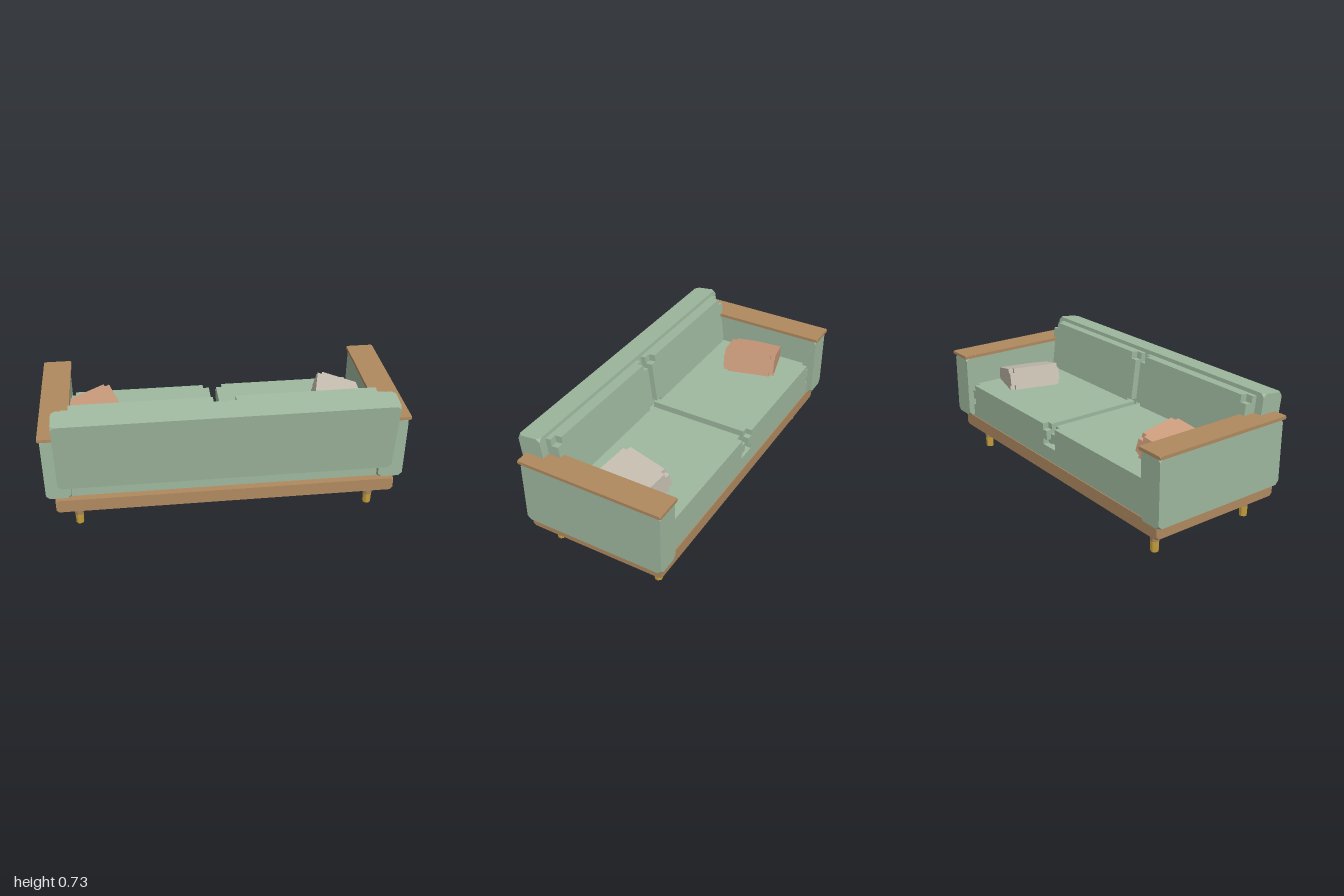
import * as THREE from 'three';

const mat = (name, color) => {
  const m = new THREE.MeshStandardMaterial({ color });
  m.name = name;
  return m;
};

// Box with its eight corners cut flat, or stepped inwards as small cubes when notched
function cornerBox(w, h, d, r, notched = false) {
  const half = [w / 2, h / 2, d / 2];
  const pos = [];
  const tri = (a, b, c, flip) => pos.push(...a, ...(flip ? c : b), ...(flip ? b : c));
  const point = (s, inset) => s.map((v, i) => v * (half[i] - inset[i]));
  const along = (s, axis) => point(s, [0, 1, 2].map(i => (i === axis ? r : 0)));
  const inFace = (s, axis) => point(s, [0, 1, 2].map(i => (i === axis ? 0 : r)));

  for (let i = 0; i < 3; i++) {
    const j = (i + 1) % 3, l = (i + 2) % 3;
    for (const side of [1, -1]) {
      // Outline of this face, counter-clockwise around +axis
      const ring = [];
      for (const [a, b] of [[1, 1], [-1, 1], [-1, -1], [1, -1]]) {
        const s = [0, 0, 0];
        s[i] = side; s[j] = a; s[l] = b;
        const ends = [along(s, l), along(s, j)];
        if (a * b < 0) ends.reverse();
        ring.push(ends[0], ...(notched ? [inFace(s, i)] : []), ends[1]);
      }
      const mid = [0, 0, 0];
      mid[i] = side * half[i];
      ring.forEach((p, n) => tri(mid, p, ring[(n + 1) % ring.length], side < 0));
    }
  }
  for (const x of [1, -1]) for (const y of [1, -1]) for (const z of [1, -1]) {
    const s = [x, y, z], flip = x * y * z < 0;
    if (!notched) {
      tri(along(s, 0), along(s, 1), along(s, 2), flip);
      continue;
    }
    const inner = point(s, [r, r, r]);
    for (let i = 0; i < 3; i++) {
      const f = inFace(s, i);
      tri(along(s, (i + 1) % 3), f, inner, !flip === false);
      tri(f, along(s, (i + 2) % 3), inner, !flip === false);
    }
  }
  const g = new THREE.BufferGeometry();
  g.setAttribute('position', new THREE.Float32BufferAttribute(pos, 3));
  g.computeVertexNormals();
  return g;
}

export function createModel() {
  const sofa = new THREE.Group();
  sofa.name = 'sofa';
  const fabric = mat('sage fabric', 0x9fb89f);
  const wood = mat('oak wood', 0xb08a60);
  const brass = mat('brass', 0xc6a03c);
  const clay = mat('terracotta fabric', 0xcc9c7d);
  const linen = mat('linen fabric', 0xc6beb0);

  const add = (name, geometry, material, x, y, z) => {
    const mesh = new THREE.Mesh(geometry, material);
    mesh.name = name;
    mesh.position.set(x, y, z);
    sofa.add(mesh);
    return mesh;
  };

  // Wooden plinth and upholstered seat base
  add('plinth', cornerBox(1.88, 0.077, 0.805, 0.015), wood, 0, 0.1775, -0.0025);
  add('seatBase', cornerBox(1.84, 0.085, 0.76, 0.016), fabric, 0, 0.2575, -0.02);

  // Leaning backrest
  const lean = 0.128;
  add('backrest', cornerBox(1.84, 0.43, 0.136, 0.02), fabric, 0, 0.509, 0.35).rotation.x = lean;

  for (const side of [-1, 1]) {
    const label = side > 0 ? 'left' : 'right';
    // Arms with wooden caps
    add(label + 'Arm', cornerBox(0.138, 0.373, 0.825, 0.02), fabric, side * 0.919, 0.4135, -0.0225);
    add(label + 'ArmCap', cornerBox(0.16, 0.018, 0.845, 0.007), wood, side * 0.92, 0.609, -0.0225);

    // Seat and back cushions
    add(label + 'SeatCushion', cornerBox(0.84, 0.125, 0.66, 0.035, true), fabric, side * 0.442, 0.3625, -0.07);
    add(label + 'BackCushion', cornerBox(0.85, 0.32, 0.12, 0.04, true), fabric, side * 0.447, 0.553, 0.276).rotation.x = lean;

    // Loose pillow tipped towards the arm
    const pillow = add(label + 'Pillow', cornerBox(0.285, 0.13, 0.31, 0.027, true),
      side > 0 ? linen : clay, side * 0.705, 0.46, -0.083);
    pillow.rotation.set(0, -side * 0.26, -side * 0.26, 'YXZ');

    // Tapered legs with brass feet
    for (const [z, end] of [[0.312, 'Front'], [-0.317, 'Rear']]) {
      const leg = new THREE.CylinderGeometry(0.0315, 0.0245, 0.082, 8).rotateY(Math.PI / 8).toNonIndexed();
      const foot = new THREE.CylinderGeometry(0.0245, 0.0225, 0.06, 8).rotateY(Math.PI / 8).toNonIndexed();
      leg.computeVertexNormals();
      foot.computeVertexNormals();
      add(label + (end === 'Front' ? 'Back' : 'Front') + 'Leg', leg, wood, side * 0.825, 0.101, z);
      add(label + (end === 'Front' ? 'Back' : 'Front') + 'Foot', foot, brass, side * 0.825, 0.03, z);
    }
  }
  return sofa;
}
